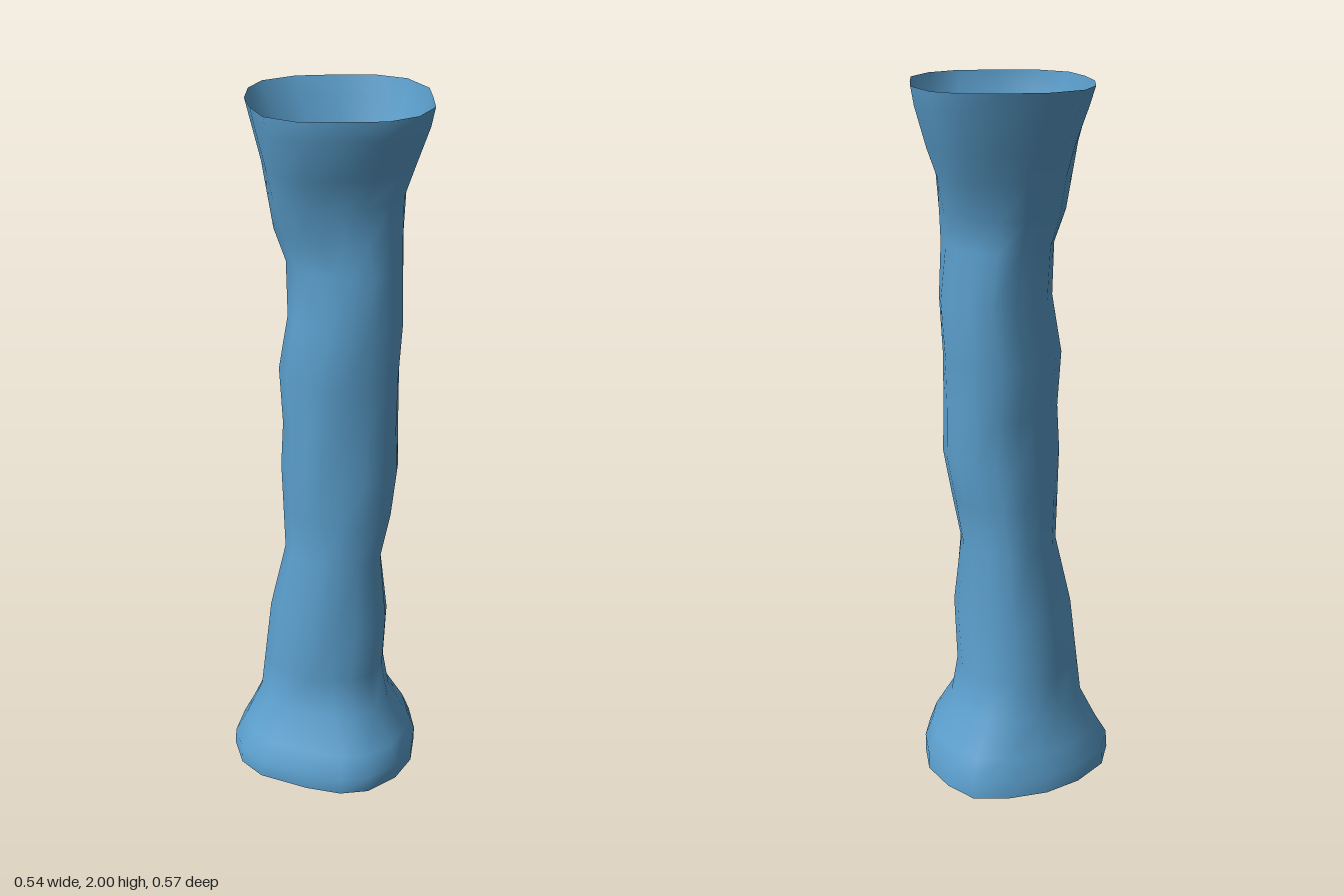
import * as THREE from 'three';

const SIDES = 16;

// Height, then x range and z range of the tube at that height
const LEVELS = [
  [0, -0.27, 0.265, -0.26, 0.285],
  [0.05, -0.265, 0.27, -0.255, 0.285],
  [0.11, -0.24, 0.245, -0.23, 0.25],
  [0.21, -0.2, 0.18, -0.175, 0.195],
  [0.32, -0.185, 0.16, -0.15, 0.175],
  [0.5, -0.165, 0.185, -0.14, 0.172],
  [0.7, -0.13, 0.16, -0.125, 0.142],
  [0.84, -0.13, 0.182, -0.143, 0.147],
  [0.97, -0.122, 0.187, -0.165, 0.153],
  [1.1, -0.117, 0.19, -0.153, 0.145],
  [1.26, -0.14, 0.198, -0.163, 0.152],
  [1.42, -0.112, 0.2, -0.175, 0.147],
  [1.57, -0.12, 0.197, -0.155, 0.13],
  [1.66, -0.142, 0.193, -0.168, 0.155],
  [1.76, -0.168, 0.185, -0.205, 0.18],
  [1.84, -0.2, 0.215, -0.24, 0.208],
  [1.95, -0.25, 0.26, -0.275, 0.243],
  [2, -0.27, 0.27, -0.287, 0.25],
];

// Rim outlines (x, z), starting at +x and turning towards +z
const TOP = [[0.27, -0.02], [0.25, 0.07], [0.18, 0.145], [0.1, 0.225], [0, 0.25], [-0.09, 0.21],
  [-0.17, 0.155], [-0.237, 0.08], [-0.27, 0], [-0.245, -0.1], [-0.175, -0.185], [-0.1, -0.258],
  [-0.01, -0.287], [0.1, -0.25], [0.17, -0.185], [0.24, -0.115]];
const BOTTOM = [[0.265, 0.01], [0.25, 0.115], [0.2, 0.18], [0.11, 0.232], [-0.03, 0.285], [-0.12, 0.279],
  [-0.205, 0.228], [-0.26, 0.14], [-0.27, 0.02], [-0.245, -0.09], [-0.185, -0.19], [-0.11, -0.258],
  [-0.01, -0.26], [0.1, -0.23], [0.18, -0.165], [0.24, -0.085]];

// Shaft section: fuller on the left corners, flattened on the right ones
const SHAFT = [1, 0.96, 0.92, 0.97, 1, 1.05, 1.1, 1.05, 1, 1.05, 1.09, 1.04, 1, 0.96, 0.94, 0.98];

// Outline scaled to the -1..1 square
function normalise(points, [, x0, x1, z0, z1]) {
  return points.map(([x, z]) => [(2 * x - x0 - x1) / (x1 - x0), (2 * z - z0 - z1) / (z1 - z0)]);
}

function buildTube() {
  const top = normalise(TOP, LEVELS[LEVELS.length - 1]);
  const bottom = normalise(BOTTOM, LEVELS[0]);
  const positions = [];
  const index = [];

  LEVELS.forEach(([y, x0, x1, z0, z1], row) => {
    const rim = y < 1 ? bottom : top;
    const blend = THREE.MathUtils.smoothstep(Math.abs(y - 1), 0.6, 0.95);
    for (let i = 0; i < SIDES; i++) {
      const a = (i / SIDES) * Math.PI * 2;
      // Slow twisting dents along the shaft, fading at the four extremes
      const dent = 1 + 0.04 * Math.abs(Math.sin(2 * a)) * Math.sin(y * 9 + a * 2);
      const r = SHAFT[i] * dent;
      const u = THREE.MathUtils.lerp(Math.cos(a) * r, rim[i][0], blend);
      const v = THREE.MathUtils.lerp(Math.sin(a) * r, rim[i][1], blend);
      positions.push((x0 + x1 + u * (x1 - x0)) / 2, y, (z0 + z1 + v * (z1 - z0)) / 2);
      if (row > 0) {
        const j = (i + 1) % SIDES;
        const c = row * SIDES;
        const b = c - SIDES;
        index.push(b + i, c + i, b + j, c + i, c + j, b + j);
      }
    }
  });

  const geometry = new THREE.BufferGeometry();
  geometry.setAttribute('position', new THREE.Float32BufferAttribute(positions, 3));
  geometry.setIndex(index);
  geometry.computeVertexNormals();
  return geometry;
}

export function createModel() {
  const blue = new THREE.MeshStandardMaterial({ color: 0x5b9fcd, side: THREE.DoubleSide });
  blue.name = 'blue';

  // Open tube flaring at both ends
  const tube = new THREE.Mesh(buildTube(), blue);
  tube.name = 'flaredTube';

  const model = new THREE.Group();
  model.name = 'hollowColumn';
  model.add(tube);
  return model;
}
